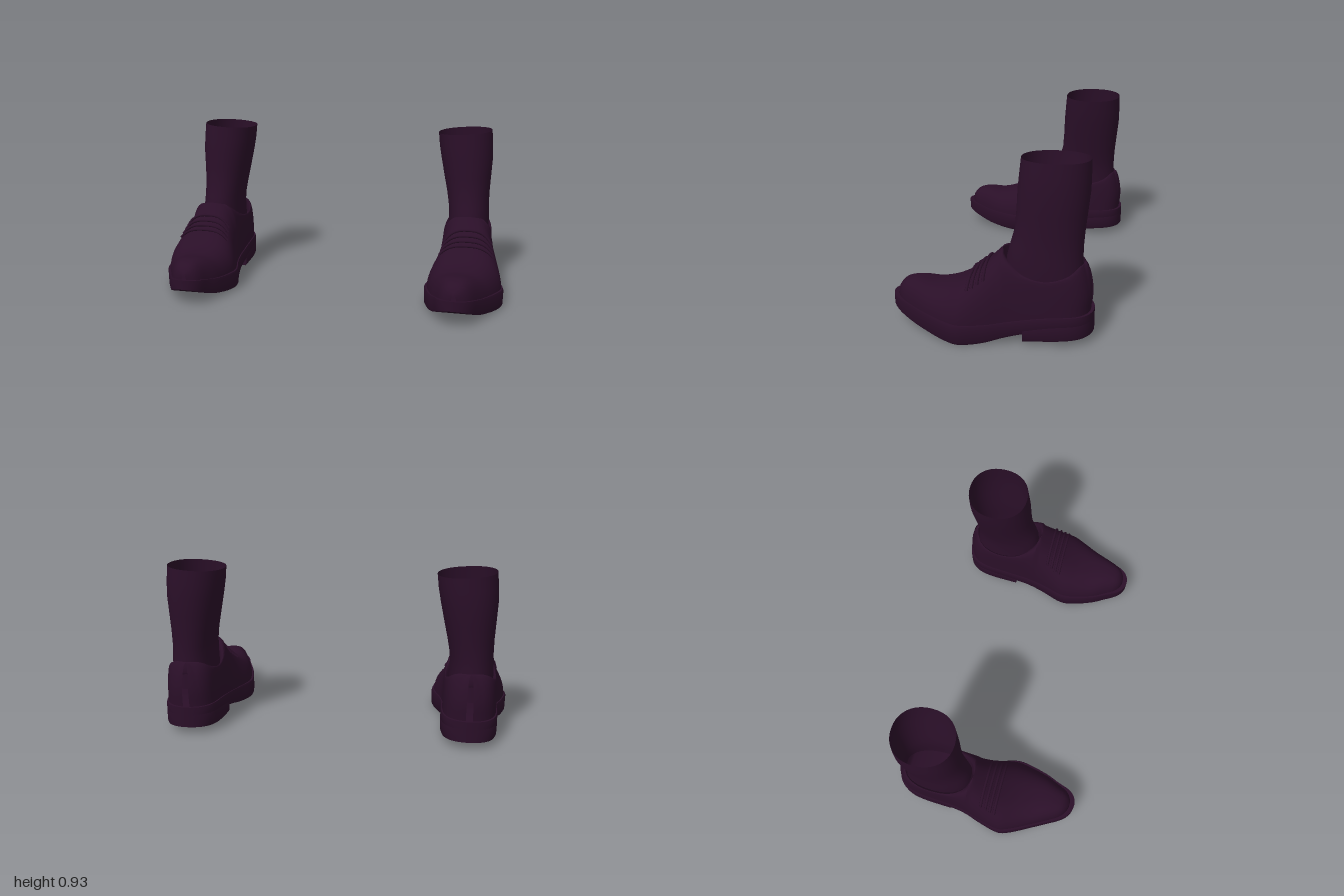
import * as THREE from 'three';
import { toCreasedNormals } from 'three/addons/utils/BufferGeometryUtils.js';

const leather = new THREE.MeshStandardMaterial({ color: 0x2a0f28, side: THREE.DoubleSide });
leather.name = 'dark plum';

// smooth curve through [position, value] pairs, positions descending
function curve(pts) {
  const slope = pts.map((p, i) => {
    const a = pts[Math.max(i - 1, 0)], b = pts[Math.min(i + 1, pts.length - 1)];
    return (b[1] - a[1]) / (b[0] - a[0]);
  });
  return (z) => {
    if (z >= pts[0][0]) return pts[0][1];
    if (z <= pts[pts.length - 1][0]) return pts[pts.length - 1][1];
    const i = pts.findIndex((p) => p[0] < z) - 1;
    const [z0, v0] = pts[i], [z1, v1] = pts[i + 1], d = z1 - z0, t = (z - z0) / d;
    const t2 = t * t, t3 = t2 * t;
    return v0 * (2 * t3 - 3 * t2 + 1) + v1 * (3 * t2 - 2 * t3)
      + d * (slope[i] * (t3 - 2 * t2 + t) + slope[i + 1] * (t3 - t2));
  };
}

// foot outline and side profiles along z
const centreX = curve([[0.525, 0.745], [0.42, 0.752], [0.33, 0.755], [0.18, 0.773], [0.12, 0.781],
  [0, 0.785], [-0.1, 0.778], [-0.2, 0.773], [-0.525, 0.768]]);
const rawWidth = curve([[0.525, 0.115], [0.42, 0.125], [0.33, 0.158], [0.18, 0.212], [0.12, 0.218],
  [0, 0.186], [-0.1, 0.163], [-0.2, 0.157], [-0.35, 0.156], [-0.525, 0.156]]);
const halfWidth = (z, len) => rawWidth(z) * Math.sqrt(Math.max(0, 1 - Math.pow(Math.abs(z / len), 8)));
const weltY = curve([[0.525, 0.152], [0.45, 0.138], [0.35, 0.118], [0.2, 0.105], [0, 0.106],
  [-0.1, 0.117], [-0.3, 0.152], [-0.4, 0.16], [-0.525, 0.16]]);
const soleY = curve([[0.525, 0.098], [0.4, 0.042], [0.28, 0.014], [0.18, 0.002], [0.1, 0],
  [0, 0.01], [-0.1, 0.035], [-0.19, 0.058], [-0.35, 0.09], [-0.525, 0.1]]);
const topY = curve([[0.503, 0.15], [0.497, 0.175], [0.48, 0.205], [0.455, 0.227], [0.41, 0.239], [0.37, 0.24],
  [0.3, 0.233], [0.25, 0.238], [0.18, 0.26], [0.1, 0.307], [0, 0.393], [-0.045, 0.436], [-0.065, 0.455],
  [-0.1, 0.425], [-0.18, 0.365], [-0.29, 0.34], [-0.4, 0.364], [-0.475, 0.402], [-0.51, 0.404]]);
const heelShift = curve([[0.42, 0.034], [0.38, 0.018], [0.33, 0.004], [0.25, -0.006], [0.16, 0]]);

// skin between rows of points; side = -1 mirrors it
function loft(rows, closed, side, crease = 0.7) {
  const n = rows[0].length, pos = [], index = [];
  rows.forEach((row) => row.forEach(([x, y, z]) => pos.push(x * side, y, z)));
  for (let i = 0; i < rows.length - 1; i++) {
    for (let j = 0; j < (closed ? n : n - 1); j++) {
      const a = i * n + j, b = i * n + (j + 1) % n, c = a + n, d = b + n;
      if (side > 0) index.push(a, c, b, b, c, d);
      else index.push(a, b, c, b, d, c);
    }
  }
  const g = new THREE.BufferGeometry();
  g.setAttribute('position', new THREE.Float32BufferAttribute(pos, 3));
  g.setIndex(index);
  return toCreasedNormals(g, crease);
}

// close both ends of a loft by shrinking to the middle
function capped(rows) {
  const shrink = (row) => {
    const m = [0, 1, 2].map((k) => row.reduce((s, p) => s + p[k], 0) / row.length);
    return row.map(() => m);
  };
  return [shrink(rows[0]), ...rows, shrink(rows[rows.length - 1])];
}

// rounded slab section used by the sole and the heel
function slab(z, bottom, top, len) {
  const c = centreX(z), w = halfWidth(z, len);
  const right = [[0.955, bottom], [0.99, bottom + 0.012], [1, top - 0.012], [0.98, top]];
  return [...right.map(([k, y]) => [c + k * w, y, z]),
    ...right.reverse().map(([k, y]) => [c - k * w, y, z])];
}

const LEN = 0.504, SHIFT = -0.006;
// half width of the foot opening
const opening = (z) => 0.134 * Math.sqrt(Math.max(0, 1 - Math.pow(Math.abs((z + 0.28) / 0.215), 2.5)));

// point on the upper: a runs from 0 at the welt to PI / 2 at the collar or ridge
function upperPoint(z, a, sign) {
  const base = weltY(z) - 0.02, w = 0.94 * halfWidth(z - SHIFT, LEN), wo = Math.min(opening(z), w * 0.93);
  const x = wo + (w - wo) * Math.pow(Math.max(0, Math.cos(a)), 0.72);
  const y = base + (topY(z) - base) * Math.pow(Math.sin(a), 0.95);
  return [centreX(z) + sign * x, y, z];
}

// bend the back of the upper into a heel curve
function bendHeel([x, y, z]) {
  const k = Math.min(1, Math.max(0, (-0.25 - z) / 0.25));
  return [x, y, z + heelShift(y) * k * k];
}

function upperRow(z) {
  const wall = (sign) => Array.from({ length: 15 }, (_, i) => upperPoint(z, (i / 14) * Math.PI / 2, sign));
  const wo = Math.min(opening(z), 0.93 * 0.94 * halfWidth(z - SHIFT, LEN));
  const c = centreX(z), y = topY(z), drop = Math.min(0.09, wo);
  // collar lip turned down inside, hidden by the sock
  const lip = (s) => [[c + s * wo * 0.93, y - drop * 0.1, z], [c + s * wo * 0.88, y - drop, z]];
  return [...wall(1), ...lip(1), ...lip(-1).reverse(), ...wall(-1).reverse()].map(bendHeel);
}

function buildFoot(side) {
  const foot = new THREE.Group();
  foot.name = side > 0 ? 'leftShoe' : 'rightShoe';
  const add = (name, geometry) => {
    const mesh = new THREE.Mesh(geometry, leather);
    mesh.name = name;
    foot.add(mesh);
  };

  const along = (n, len, shift = 0) =>
    Array.from({ length: n + 1 }, (_, i) => shift + len * Math.cos((i / n) * Math.PI));

  // sole with welt
  add('sole', loft(along(64, 0.525).map((z) => slab(z, soleY(z), weltY(z), 0.525)), true, side));

  // heel block
  const heelRows = Array.from({ length: 25 }, (_, i) => {
    const z = -0.19 - 0.335 * Math.sin((i / 24) * Math.PI / 2);
    return slab(z, 0.018 + (-0.19 - z) * 0.08, soleY(z) + 0.025, 0.525);
  });
  add('heel', loft(capped(heelRows), true, side));

  // shoe upper
  add('upper', loft(along(110, LEN - 0.001, SHIFT).map(upperRow), false, side, 0.8));

  // laces across the instep
  [0.085, 0.06, 0.034, 0.005].forEach((z) => {
    const pts = [];
    for (let i = 0; i <= 12; i++) {
      const a = Math.PI * (0.27 + 0.46 * i / 12);
      const [x, y] = a <= Math.PI / 2 ? upperPoint(z, a, 1) : upperPoint(z, Math.PI - a, -1);
      pts.push(new THREE.Vector3(x * side, y + 0.005, z + 0.003));
    }
    add('lace', new THREE.TubeGeometry(new THREE.CatmullRomCurve3(pts), 24, 0.008, 8));
  });

  // sock: y, inner x, outer x, front z, back z
  const sock = [[0.25, 0.655, 0.89, -0.08, -0.475], [0.34, 0.655, 0.893, -0.078, -0.468],
    [0.42, 0.657, 0.892, -0.085, -0.463], [0.48, 0.652, 0.888, -0.1, -0.463],
    [0.56, 0.638, 0.888, -0.122, -0.468], [0.66, 0.617, 0.893, -0.13, -0.478],
    [0.76, 0.597, 0.898, -0.134, -0.488], [0.84, 0.583, 0.894, -0.141, -0.488], [0.915, 0.575, 0.887, -0.148, -0.486]];
  const sockRows = sock.map(([y, x0, x1, z1, z0]) => Array.from({ length: 40 }, (_, j) => {
    const t = (j / 40) * Math.PI * 2, bump = (v) => Math.sign(v) * Math.pow(Math.abs(v), 0.92);
    const dx = bump(Math.cos(t)) * (x1 - x0) / 2;
    const tilt = dx * 0.065 * Math.max(0, (y - 0.5) / 0.415);
    return [(x0 + x1) / 2 + dx, y + tilt, (z0 + z1) / 2 + bump(Math.sin(t)) * (z1 - z0) / 2];
  }));
  add('sock', loft(sockRows, true, side, 1.2));
  return foot;
}

export function createModel() {
  const model = new THREE.Group();
  model.name = 'shoesWithSocks';
  model.add(buildFoot(1), buildFoot(-1));
  return model;
}
